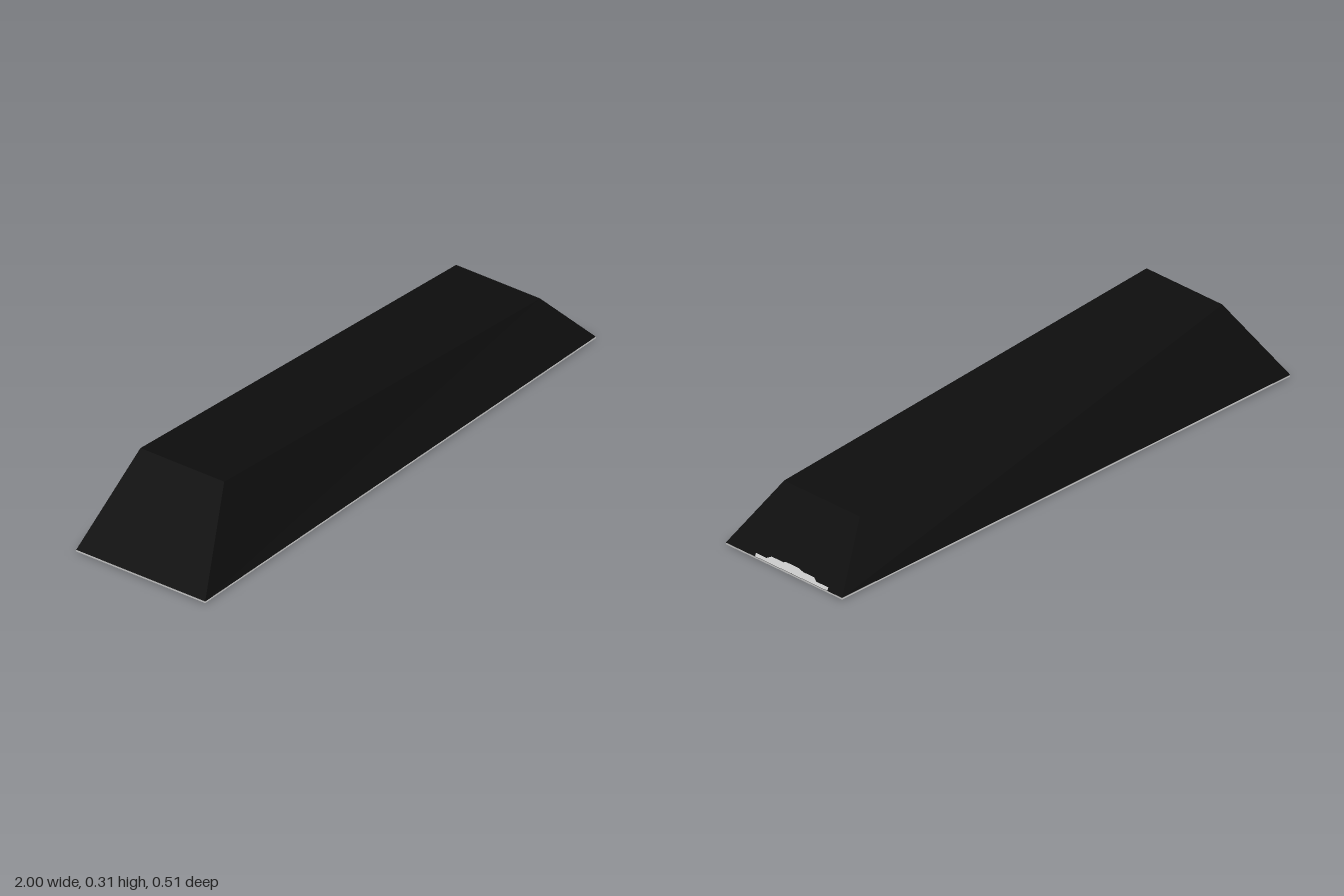
import * as THREE from 'three';

const BASE = 0.006; // thickness of the base plate
const HALF_DEPTH = 0.254;

export function createModel() {
  const group = new THREE.Group();
  const grey = new THREE.MeshStandardMaterial({ color: 0xcccccc, flatShading: true });
  const black = new THREE.MeshStandardMaterial({ color: 0x0d0d0d, flatShading: true });
  const add = (name, geometry, material) => {
    const mesh = new THREE.Mesh(geometry, material);
    mesh.name = name;
    group.add(mesh);
    return mesh;
  };

  // Thin base plate
  add('basePlate', new THREE.BoxGeometry(2, BASE, HALF_DEPTH * 2), grey).position.y = BASE / 2;

  // Tapered body: a box whose top is narrowed and sloped down towards +x
  const body = new THREE.BoxGeometry(2, 1, 2);
  const p = body.attributes.position;
  for (let i = 0; i < p.count; i++) {
    const top = p.getY(i) > 0, right = p.getX(i) > 0;
    const x = top ? (right ? 0.83 : -0.787) : (right ? 1 : -1);
    const y = top ? (right ? 0.195 : 0.308) : BASE;
    p.setXYZ(i, x, y, Math.sign(p.getZ(i)) * (top ? 0.165 : HALF_DEPTH));
  }
  body.computeVertexNormals();
  add('body', body, black);

  // Stepped pale patch lying on the +x end slope, outlined as seen from that end
  const outline = [
    [-0.126, 0.007], [0.19, 0.007], [0.187, 0.015], [0.135, 0.015], [0.118, 0.022], [0.07, 0.022],
    [0.05, 0.026], [-0.008, 0.026], [-0.015, 0.023], [-0.067, 0.023], [-0.083, 0.015], [-0.129, 0.015],
  ].map(([u, v]) => new THREE.Vector2(u, v));
  const patch = new THREE.ShapeGeometry(new THREE.Shape(outline));
  const q = patch.attributes.position;
  for (let i = 0; i < q.count; i++) {
    const u = q.getX(i), y = q.getY(i);
    q.setXYZ(i, 1.001 - (y - BASE) * 0.17 / (0.195 - BASE), y, -u);
  }
  patch.computeVertexNormals();
  add('endPatch', patch, grey);

  return group;
}
